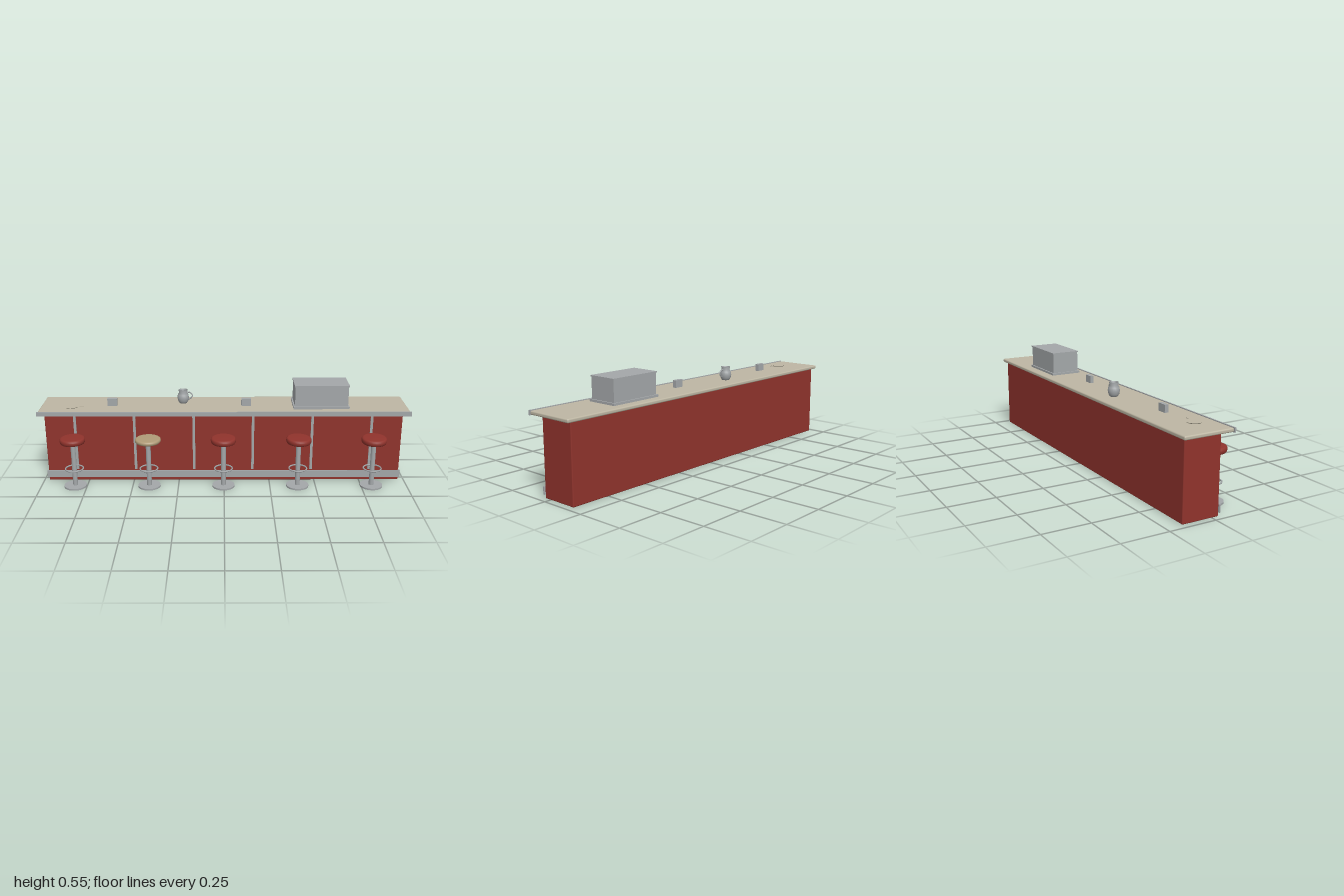
import * as THREE from 'three';
import { RoundedBoxGeometry } from 'three/addons/geometries/RoundedBoxGeometry.js';

export function createModel() {
  const root = new THREE.Group();
  root.name = 'dinerCounter';
  const mat = (name, color, side = THREE.FrontSide) => {
    const m = new THREE.MeshStandardMaterial({ color, side });
    m.name = name;
    return m;
  };
  const red = mat('red vinyl', 0x90332c);
  const cream = mat('cream laminate', 0xbdb6a3);
  const metal = mat('brushed metal', 0xa3a7a9, THREE.DoubleSide);
  const tan = mat('tan vinyl', 0xb09c78);

  const add = (name, geo, material, x, y, z, parent = root) => {
    const m = new THREE.Mesh(geo, material);
    m.name = name;
    m.position.set(x, y, z);
    parent.add(m);
    return m;
  };
  const box = (name, material, w, h, d, x, y, z, parent) =>
    add(name, new THREE.BoxGeometry(w, h, d), material, x, y, z, parent);
  const lathe = (points, segments) =>
    new THREE.LatheGeometry(points.map(([r, y]) => new THREE.Vector2(r, y)), segments);

  // Counter body, top and front edge trim
  add('counterBody', new RoundedBoxGeometry(1.94, 0.397, 0.2, 2, 0.005), red, -0.002, 0.1995, -0.065);
  add('counterTop', new RoundedBoxGeometry(1.994, 0.02, 0.268, 2, 0.007), cream, 0, 0.408, -0.048);
  box('edgeTrim', metal, 2, 0.024, 0.008, 0, 0.408, 0.089);

  // Kick rail and vertical strips on the front
  box('kickRail', metal, 1.954, 0.04, 0.007, -0.002, 0.04, 0.0375);
  for (let i = 0; i < 6; i++) {
    box('frontStrip', metal, 0.014, 0.318, 0.006, -0.004 + (i - 2.5) * 0.322, 0.227, 0.038);
  }

  // Stools
  const seatProfile = [[0, -0.017], [0.055, -0.017], [0.063, -0.014], [0.067, -0.007], [0.068, 0.001],
    [0.067, 0.009], [0.063, 0.014], [0.055, 0.016], [0, 0.017]];
  const cushion = lathe(seatProfile, 28);
  const tilts = [[0, 0.01], [0, 0], [0.01, 0], [0.01, -0.03], [0.04, 0]];
  tilts.forEach(([rx, rz], i) => {
    const stool = new THREE.Group();
    stool.name = 'stool';
    stool.position.set(-0.004 + (i - 2) * 0.4045, 0, 0.114);
    root.add(stool);
    add('stoolBase', new THREE.CylinderGeometry(0.061, 0.061, 0.009, 28), metal, 0, 0.0045, 0, stool);
    add('stoolPost', new THREE.CylinderGeometry(0.0133, 0.0133, 0.25, 16), metal, 0, 0.13, 0, stool);
    const ring = add('footRing', new THREE.TorusGeometry(0.048, 0.004, 6, 28), metal, 0, 0.105, 0, stool);
    ring.rotation.x = Math.PI / 2;
    const seat = add('stoolSeat', cushion, i === 1 ? tan : red, 0, 0.269, 0, stool);
    if (i === 1) seat.scale.set(1.02, 0.75, 1.02);
    seat.rotation.set(rx, 0, rz);
  });

  // Display case with plinth and lid
  const displayCase = new THREE.Group();
  displayCase.name = 'displayCase';
  displayCase.position.set(0.525, 0, -0.0455);
  root.add(displayCase);
  box('casePlinth', metal, 0.302, 0.012, 0.171, 0, 0.424, 0, displayCase);
  box('caseBody', metal, 0.286, 0.11, 0.155, 0, 0.485, 0, displayCase);
  box('caseLid', metal, 0.294, 0.007, 0.162, 0, 0.5435, 0, displayCase);

  // Napkin holders
  for (const x of [-0.609, 0.12]) {
    box('napkinHolder', metal, 0.052, 0.04, 0.021, x, 0.438, -0.029);
  }

  // Jug with handle
  const jug = new THREE.Group();
  jug.name = 'jug';
  jug.position.set(-0.225, 0.418, -0.077);
  root.add(jug);
  add('jugBody', lathe([[0, 0], [0.021, 0], [0.028, 0.012], [0.032, 0.03], [0.029, 0.047], [0.022, 0.058],
    [0.025, 0.074], [0.022, 0.074], [0.019, 0.058], [0.024, 0.04], [0, 0.01]], 20), metal, 0, 0, 0, jug);
  const handle = new THREE.CatmullRomCurve3([[0.022, 0.06], [0.04, 0.057], [0.051, 0.041], [0.042, 0.026],
    [0.029, 0.018]].map(([x, y]) => new THREE.Vector3(x, y, 0)));
  add('jugHandle', new THREE.TubeGeometry(handle, 12, 0.0035, 6), metal, 0, 0, 0, jug);

  // Shallow plate with a small tab handle
  add('plate', new THREE.CylinderGeometry(0.045, 0.038, 0.005, 20), cream, -0.828, 0.4205, -0.01);
  box('plateHandle', cream, 0.024, 0.003, 0.008, -0.772, 0.4205, -0.002);

  return root;
}
